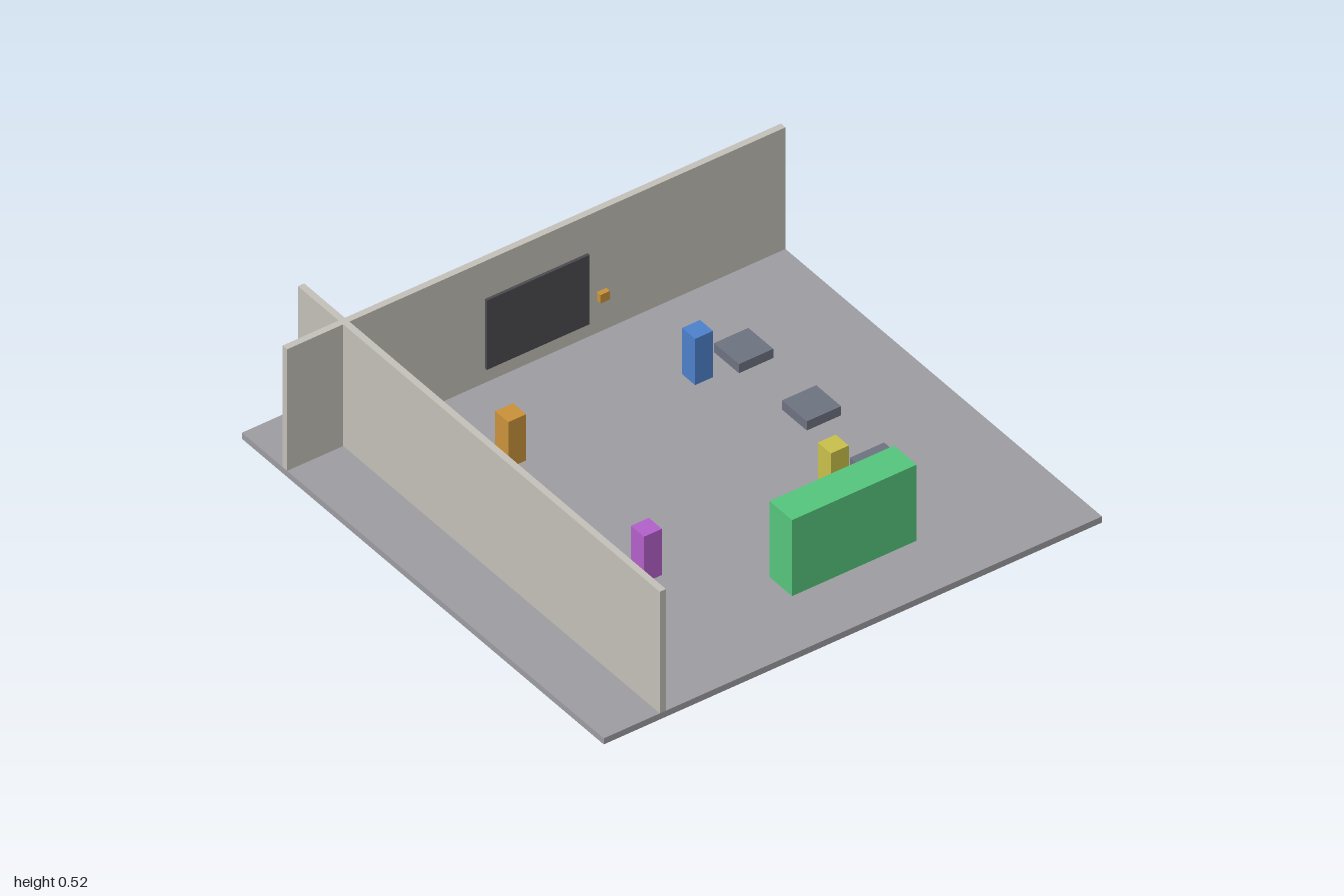
import * as THREE from 'three';

const paint = (name, color) => {
  const m = new THREE.MeshStandardMaterial({ color });
  m.name = name;
  return m;
};

export function createModel() {
  const room = new THREE.Group();
  room.name = 'room';

  const floorGrey = paint('floor grey', 0x9d9ca1);
  const wallBeige = paint('wall beige', 0xc4c0b9);
  const screenDark = paint('screen charcoal', 0x4b4a4f);
  const slate = paint('slate', 0x6d7280);
  const green = paint('green', 0x56c57d);
  const orange = paint('orange', 0xc9923a);
  const blue = paint('blue', 0x4d80ca);
  const yellow = paint('yellow', 0xc8c04a);
  const purple = paint('purple', 0xb360cb);

  // Box given by its centre in x and z, and the height of its base
  const box = (name, material, [w, h, d], [x, base, z]) => {
    const mesh = new THREE.Mesh(new THREE.BoxGeometry(w, h, d), material);
    mesh.name = name;
    mesh.position.set(x, base + h / 2, z);
    room.add(mesh);
  };

  // Floor slab and the two crossing walls
  const top = 0.025;
  box('floor', floorGrey, [2, top, 2], [0, 0, 0]);
  box('backWall', wallBeige, [2, 0.5, 0.025], [0, top, -0.7625]);
  box('sideWall', wallBeige, [0.025, 0.5, 2], [-0.7625, top, 0]);

  // Wall screens and the small switch beside one of them
  box('backScreen', screenDark, [0.4125, 0.285, 0.0125], [0, 0.085, -0.745]);
  box('sideScreen', screenDark, [0.0125, 0.285, 0.4125], [-0.745, 0.085, 0]);
  box('wallSwitch', orange, [0.0375, 0.035, 0.02], [0.26, 0.161, -0.737]);

  // Four coloured pedestals
  const pedestals = [
    ['orangePedestal', orange, -1, -1],
    ['bluePedestal', blue, 1, -1],
    ['purplePedestal', purple, -1, 1],
    ['yellowPedestal', yellow, 1, 1],
  ];
  for (const [name, material, sx, sz] of pedestals) {
    box(name, material, [0.072, 0.19, 0.072], [sx * 0.375, top, sz * 0.375]);
  }

  // Counter near the front
  box('counter', green, [0.5, 0.3125, 0.125], [0.1875, top, 0.6875]);

  // Row of low seats
  for (const z of [-0.375, 0, 0.375]) {
    box('lowSeat', slate, [0.1375, 0.0375, 0.1375], [0.56, top, z]);
  }

  return room;
}
